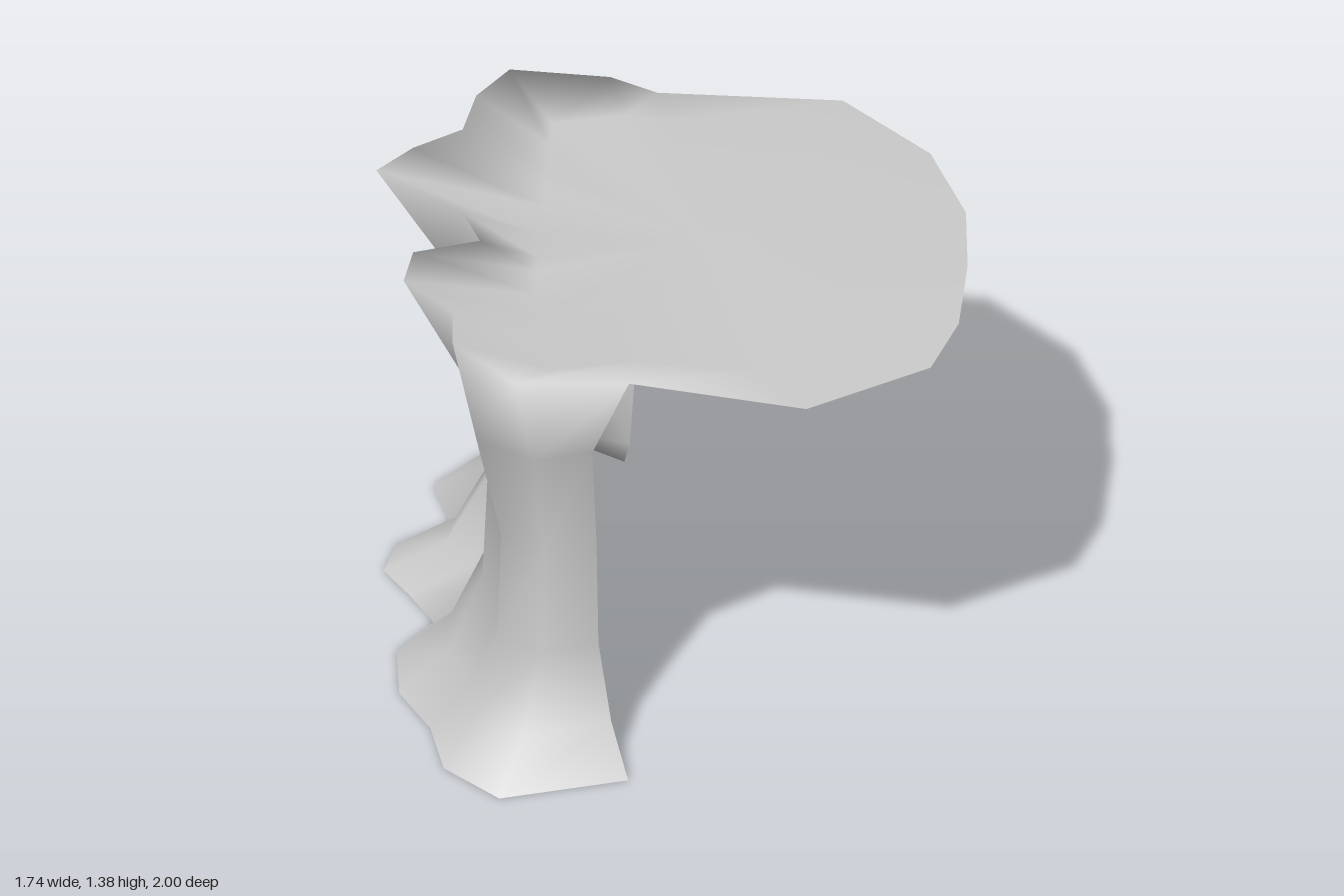
import * as THREE from 'three';

// Plan outlines [x, z], running from the front end round the right side to the back end
const FOOT = [[-.08, .88], [-.45, 1], [-.62, .84], [-.67, .62], [-.77, .43], [-.79, .2], [-.69, .03],
  [-.77, -.12], [-.85, -.25], [-.82, -.4], [-.67, -.53], [-.73, -.73], [-.6, -.91], [-.35, -1], [-.18, -.89]];
const WAIST = [[-.18, .73], [-.33, .8], [-.46, .7], [-.45, .54], [-.515, .38], [-.5, .18], [-.38, .07],
  [-.4, -.09], [-.515, -.2], [-.5, -.33], [-.43, -.44], [-.45, -.6], [-.4, -.71], [-.27, -.775], [-.14, -.735]];
const SHOULDER = [[-.19, .77], [-.36, .83], [-.53, .72], [-.5, .53], [-.58, .38], [-.56, .2], [-.42, .1],
  [-.44, -.08], [-.64, -.2], [-.58, -.34], [-.47, -.45], [-.5, -.62], [-.43, -.75], [-.26, -.81], [-.15, -.77]];
const RIM = [[-.08, .83], [-.41, .9], [-.6, .72], [-.61, .54], [-.76, .38], [-.74, .22], [-.55, .13],
  [-.61, -.03], [-.87, -.23], [-.77, -.36], [-.63, -.47], [-.6, -.66], [-.51, -.81], [-.22, -.88], [-.08, -.84]];
const RIM_Y = [1.325, 1.36, 1.38, 1.38, 1.38, 1.38, 1.37, 1.37, 1.38, 1.38, 1.38, 1.38, 1.38, 1.32, 1.295];
// Free edge of the overhanging plateau: [x, y, z]
const EDGE = [[.46, 1.285, -.84], [.73, 1.29, -.55], [.85, 1.295, -.22], [.87, 1.295, .08],
  [.86, 1.295, .4], [.79, 1.29, .64], [.44, 1.285, .88]];

// Wall rings: height, outline to move towards, amount from the waist in x and in z
const RINGS = [[0, FOOT, 1, 1], [.13, FOOT, .45, .25], [.38, FOOT, .06, .05],
  [.72, WAIST, 0, 0], [1.05, SHOULDER, 1, 1]];

export function createModel() {
  const group = new THREE.Group();
  const rock = new THREE.MeshStandardMaterial({ color: 0xcccccc, side: THREE.DoubleSide });
  rock.name = 'grey rock';

  const pos = [], wall = [], top = [];
  const cols = RIM.length;
  const quad = (list, a, b, c, d) => list.push(a, b, c, b, d, c);

  // Points of the fluted wall, ring by ring
  for (const [y, outline, bx, bz] of RINGS) {
    WAIST.forEach(([x, z], i) => pos.push(
      x + (outline[i][0] - x) * bx, y, z + (outline[i][1] - z) * bz));
  }
  // Rim shared by wall and plateau, closed by the free edge
  const rimStart = pos.length / 3;
  const loop = RIM.map(([x, z], i) => [x, RIM_Y[i], z]).concat(EDGE);
  loop.forEach(p => pos.push(...p));
  // Inner ring where the sloping lip meets the plateau, and its slightly raised centre
  const innerStart = pos.length / 3;
  loop.forEach(([x, , z]) => pos.push(x < 0 ? Math.max(x * .75, -.38) : x * .6, 1.3, z * .8));
  const centre = pos.length / 3;
  pos.push(.1, 1.312, 0);

  for (let r = 0; r < RINGS.length; r++) {
    for (let i = 0; i < cols - 1; i++) {
      const a = r * cols + i, b = a + cols;
      quad(wall, a, b, a + 1, b + 1);
    }
  }
  for (let i = 0; i < loop.length; i++) {
    const n = (i + 1) % loop.length;
    quad(top, rimStart + i, innerStart + i, rimStart + n, innerStart + n);
    top.push(innerStart + i, centre, innerStart + n);
  }

  // Smooth normals run over the rim, so both parts share the same points
  const whole = new THREE.BufferGeometry();
  whole.setAttribute('position', new THREE.Float32BufferAttribute(pos, 3));
  whole.setIndex([...wall, ...top]);
  whole.computeVertexNormals();

  const addPart = (name, index) => {
    const geometry = whole.clone();
    geometry.setIndex(index);
    const mesh = new THREE.Mesh(geometry, rock);
    mesh.name = name;
    group.add(mesh);
  };
  addPart('cliffWall', wall);
  addPart('plateauTop', top);
  group.name = 'overhangingCliff';
  return group;
}
